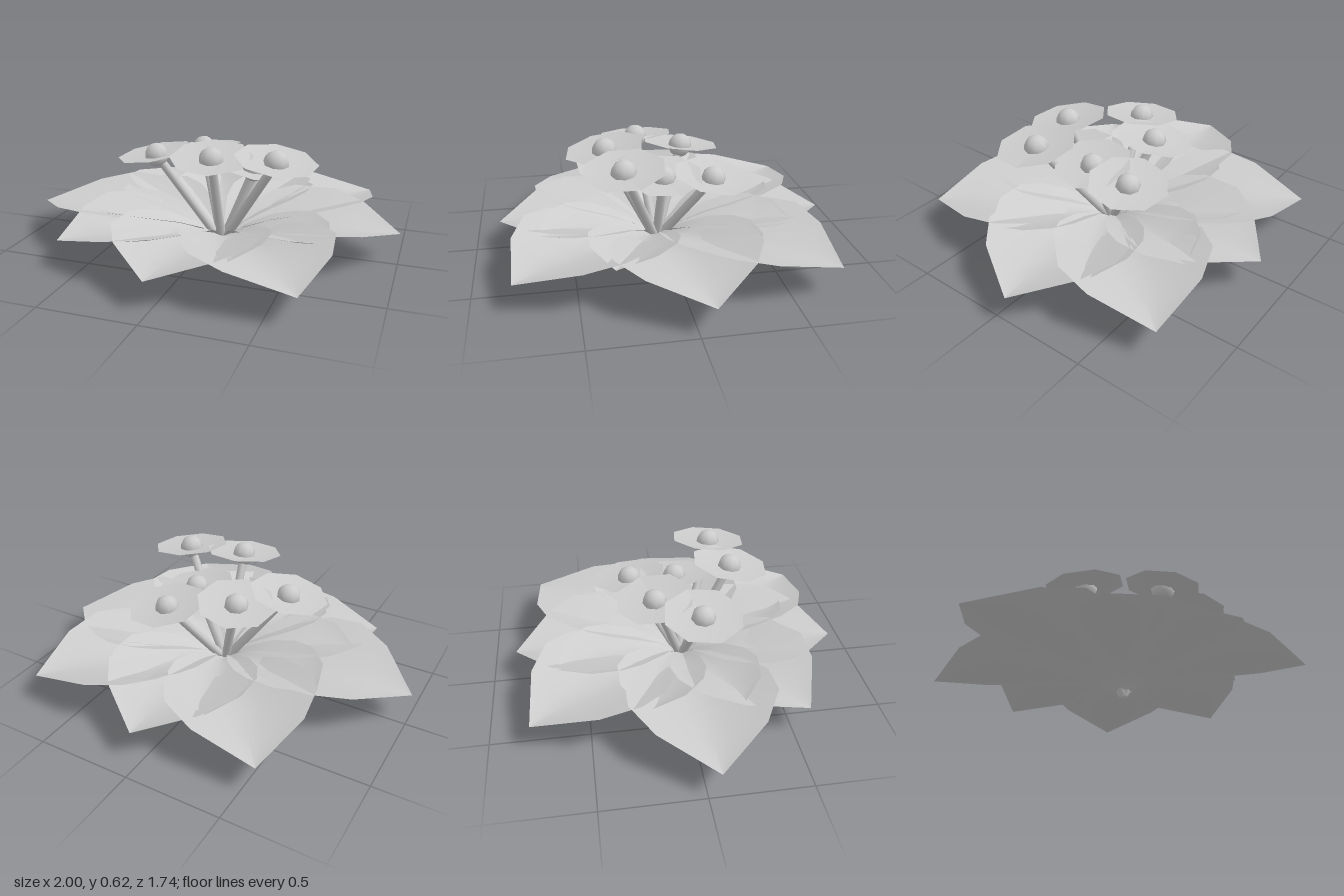
import * as THREE from 'three';

const CENTER = new THREE.Vector3(0.07, 0, 0.04);

// Cupped leaf rows: distance, half width, midrib height, rim height
const OUTER_ROWS = [
  [0.01, 0.012, 0.015, 0.02], [0.06, 0.05, 0.04, 0.06], [0.14, 0.12, 0.075, 0.115],
  [0.3, 0.27, 0.112, 0.195], [0.48, 0.365, 0.133, 0.235], [0.65, 0.37, 0.145, 0.242],
  [0.83, 0.265, 0.147, 0.21], [1.05, 0.0, 0.138, 0.138],
];
const INNER_ROWS = [
  [0.01, 0.012, 0.03, 0.035], [0.1, 0.07, 0.085, 0.12], [0.22, 0.16, 0.128, 0.185],
  [0.34, 0.215, 0.15, 0.22], [0.46, 0.225, 0.166, 0.238], [0.6, 0.165, 0.178, 0.232],
  [0.72, 0.0, 0.195, 0.195],
];

// Leaf surface lofted along +z, scaled to the wanted length
function leafGeometry(rows, length) {
  const cols = 8, pos = [], idx = [];
  const k = length / rows[rows.length - 1][0];
  for (const [r, w, mid, rim] of rows) {
    for (let j = 0; j <= cols; j++) {
      const s = (j / cols) * 2 - 1;
      pos.push(s * w, mid + (rim - mid) * Math.pow(Math.abs(s), 1.4), r * k);
    }
  }
  const n = cols + 1;
  for (let i = 0; i < rows.length - 1; i++) {
    for (let j = 0; j < cols; j++) {
      const a = i * n + j, b = a + n;
      idx.push(a, b, a + 1);
      if (i < rows.length - 2) idx.push(b, b + 1, a + 1);
      else idx.push(b + 1, a + 1, b + 1);
    }
  }
  // drop the collapsed triangles at the tip
  const clean = [];
  for (let i = 0; i < idx.length; i += 3) {
    const [a, b, c] = idx.slice(i, i + 3);
    if (a !== b && b !== c && a !== c) clean.push(a, b, c);
  }
  const g = new THREE.BufferGeometry();
  g.setAttribute('position', new THREE.Float32BufferAttribute(pos, 3));
  g.setIndex(clean);
  g.computeVertexNormals();
  return g;
}

// Eight-sided, slightly dished blossom disc
function blossomGeometry() {
  const g = new THREE.CircleGeometry(0.208, 8, 0.25);
  g.rotateX(-Math.PI / 2);
  const p = g.attributes.position;
  p.setY(0, -0.025);
  for (let i = 1; i < p.count; i++) p.setY(i, 0.004);
  g.computeVertexNormals();
  return g;
}

export function createModel() {
  const model = new THREE.Group();
  model.name = 'floweringRosette';
  const grey = new THREE.MeshStandardMaterial({ color: 0xcccccc, side: THREE.DoubleSide });
  grey.name = 'paleGrey';

  const add = (parent, geometry, name) => {
    const mesh = new THREE.Mesh(geometry, grey);
    mesh.name = name;
    parent.add(mesh);
    return mesh;
  };

  // Leaves, each placed by its tip (x, z)
  const addLeaves = (rows, tips, name) => {
    for (const [x, z] of tips) {
      const dx = x - CENTER.x, dz = z - CENTER.z;
      const leaf = add(model, leafGeometry(rows, Math.hypot(dx, dz)), name);
      leaf.position.copy(CENTER);
      leaf.rotation.y = Math.atan2(dx, dz);
    }
  };
  addLeaves(OUTER_ROWS, [
    [-1, 0.06], [1, -0.07], [0.06, -0.87], [-0.03, 0.87],
    [-0.56, -0.79], [0.76, -0.74], [-0.63, 0.58], [0.65, 0.8],
  ], 'outerLeaf');
  addLeaves(INNER_ROWS, [
    [-0.21, -0.65], [0.72, -0.33], [0.36, -0.63], [-0.62, 0.24],
    [-0.28, 0.63], [0.7, 0.33], [0.3, 0.67], [-0.6, -0.23],
  ], 'innerLeaf');

  // Flowers: leaning stem, tilted disc and round centre
  const heads = [
    [-0.28, 0.49, 0.1], [-0.09, 0.49, -0.12], [0.1, 0.555, 0.31],
    [0.27, 0.43, -0.22], [0.24, 0.44, 0.03], [0.41, 0.55, 0.25],
  ];
  const up = new THREE.Vector3(0, 1, 0);
  for (const [x, y, z] of heads) {
    const flower = new THREE.Group();
    flower.name = 'flower';
    model.add(flower);
    const head = new THREE.Vector3(x, y, z);
    const base = CENTER.clone().setY(0.012);
    const dir = head.clone().sub(base);
    const length = dir.length();
    dir.normalize();

    const stem = add(flower, new THREE.CylinderGeometry(0.023, 0.025, length, 7), 'stem');
    stem.position.copy(base).add(head).multiplyScalar(0.5);
    stem.quaternion.setFromUnitVectors(up, dir);

    const out = new THREE.Vector3(x - CENTER.x, 0, z - CENTER.z).normalize();
    const normal = up.clone().addScaledVector(out, 0.17).normalize();
    const disc = add(flower, blossomGeometry(), 'blossom');
    disc.position.copy(head).addScaledVector(up, 0.012);
    disc.quaternion.setFromUnitVectors(up, normal);

    const bud = add(flower, new THREE.SphereGeometry(0.064, 8, 8), 'flowerCentre');
    bud.position.copy(head);
    bud.quaternion.copy(disc.quaternion);
  }
  return model;
}
